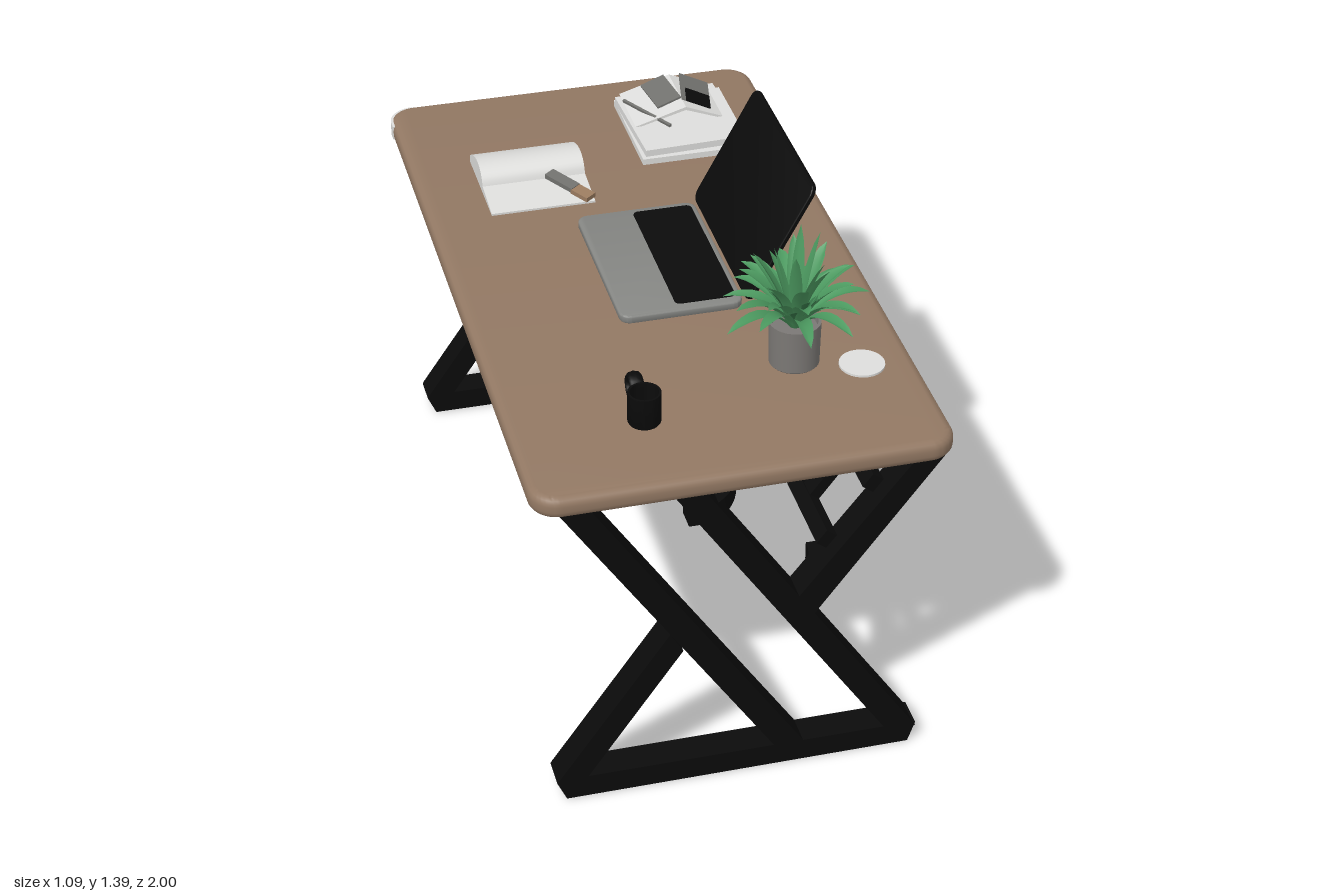
import * as THREE from 'three';
import { toCreasedNormals } from 'three/addons/utils/BufferGeometryUtils.js';

const mat = (name, color, side = THREE.FrontSide) => {
  const m = new THREE.MeshStandardMaterial({ color, side });
  m.name = name;
  return m;
};

export function createModel() {
  const wood = mat('wood', 0x927863);
  const black = mat('black', 0x0b0b0b);
  const potGrey = mat('potGrey', 0x7b7875);
  const metal = mat('laptopGrey', 0x858683);
  const paper = mat('paper', 0xdededc, THREE.DoubleSide);
  const photo = mat('photoGrey', 0x72726f);
  const tan = mat('tan', 0x9c7c60);
  const green = mat('leafGreen', 0x4c9a60, THREE.DoubleSide);
  const darkGreen = mat('darkLeafGreen', 0x38784a, THREE.DoubleSide);

  const root = new THREE.Group();
  const add = (name, geo, material, pos = [0, 0, 0], rot = [0, 0, 0], parent = root) => {
    const m = new THREE.Mesh(geo, material);
    m.name = name;
    m.position.set(...pos);
    m.rotation.set(...rot);
    parent.add(m);
    return m;
  };
  const group = (name, parent = root) => {
    const g = new THREE.Group();
    g.name = name;
    parent.add(g);
    return g;
  };
  const box = (w, h, d) => new THREE.BoxGeometry(w, h, d);

  // Horizontal slab with rounded corners and softened edges, resting on y = 0
  const slab = (w, h, d, r, b = 0) => {
    const x = w / 2 - b, y = d / 2 - b, q = r - b, s = new THREE.Shape();
    s.absarc(x - q, y - q, q, 0, Math.PI / 2);
    s.absarc(-x + q, y - q, q, Math.PI / 2, Math.PI);
    s.absarc(-x + q, -y + q, q, Math.PI, Math.PI * 1.5);
    s.absarc(x - q, -y + q, q, Math.PI * 1.5, Math.PI * 2);
    const g = new THREE.ExtrudeGeometry(s, {
      depth: h - 2 * b, bevelEnabled: b > 0, bevelSize: b, bevelThickness: b, bevelSegments: 4, curveSegments: 8,
    });
    g.translate(0, 0, b).rotateX(-Math.PI / 2);
    return toCreasedNormals(g, 0.6);
  };
  // Polygon in the front plane, given depth along z
  const plate = (pts, depth) => new THREE.ExtrudeGeometry(
    new THREE.Shape(pts.map(p => new THREE.Vector2(...p))), { depth, bevelEnabled: false }).translate(0, 0, -depth / 2);

  // Tabletop with a pale guard on one corner
  const TOP = 1.015;
  add('tabletop', slab(1.09, 0.06, 2, 0.075, 0.022), wood, [0, TOP - 0.06, 0]);
  const guard = new THREE.Shape();
  guard.moveTo(-0.547, 0.9);
  guard.lineTo(-0.547, 0.925);
  guard.absarc(-0.47, 0.925, 0.077, Math.PI, Math.PI / 2, true);
  guard.lineTo(-0.47, 0.99);
  guard.absarc(-0.47, 0.925, 0.065, Math.PI / 2, Math.PI, false);
  guard.lineTo(-0.535, 0.9);
  add('cornerGuard', new THREE.ExtrudeGeometry(guard, { depth: 0.042, bevelEnabled: false }).rotateX(-Math.PI / 2),
    paper, [0, TOP - 0.05, 0]);

  // Z-shaped leg frames with curved hooks on their inner faces
  const legBars = {
    topBar: [[-0.49, 0.957], [-0.48, 0.942], [0.53, 0.942], [0.54, 0.957]],
    frontDiagonal: [[-0.49, 0.957], [-0.41, 0.957], [0.18, 0.06], [0.1, 0.06]],
    rearDiagonal: [[-0.195, 0.957], [-0.115, 0.957], [0.49, 0.05], [0.41, 0.05]],
    foot: [[-0.49, 0.056], [-0.465, 0], [0.47, 0], [0.49, 0.06], [0.4, 0.063], [-0.485, 0.066]],
    lowerBrace: [[-0.487, 0.062], [-0.41, 0.06], [-0.153, 0.437], [-0.188, 0.497]],
    upperBrace: [[0.465, 0.957], [0.54, 0.957], [0.195, 0.49], [0.145, 0.545]],
  };
  for (const s of [1, -1]) {
    const frame = group(s > 0 ? 'frontLegFrame' : 'backLegFrame');
    frame.position.z = s * 0.905;
    for (const [name, pts] of Object.entries(legBars)) add(name, plate(pts, 0.084), black, [0, 0, 0], [0, 0, 0], frame);
    for (const [x, y] of [[0.16, 0.475], [-0.105, 0.817]]) {
      // Quarter-ring strip seen from above: leaves the leg sideways, then turns inward
      const k = new THREE.Shape();
      k.moveTo(-0.03, -0.02 * s);
      k.lineTo(0.03, -0.02 * s);
      k.quadraticCurveTo(0.14, 0.04 * s, 0.14, 0.205 * s);
      k.lineTo(0.085, 0.205 * s);
      k.quadraticCurveTo(0.08, 0.08 * s, -0.03, 0.04 * s);
      const g = new THREE.ExtrudeGeometry(k, { depth: 0.052, bevelEnabled: false, curveSegments: 10 }).rotateX(-Math.PI / 2);
      add('hook', toCreasedNormals(g, 0.6), black, [x, y, 0], [0, 0, 0], frame);
    }
  }

  // Tilted pair of rails joining the leg frames
  const rails = group('rearRails');
  rails.position.set(0.295, 0.767, 0);
  rails.rotation.z = -0.64;
  for (const y of [0.098, -0.098]) add('rail', box(0.035, 0.045, 1.8), black, [0, y, 0], [0, 0, 0], rails);
  for (const s of [1, -1]) {
    add('railClamp', box(0.05, 0.255, 0.07), black, [0, 0, s * 0.281], [0, 0, 0], rails);
    add('railSpacer', box(0.03, 0.19, 0.055), black, [0, 0, s * 0.715], [0, 0, 0], rails);
  }

  // Open laptop facing -x
  const laptop = group('laptop');
  add('laptopBase', slab(0.335, 0.024, 0.525, 0.03, 0.006), metal, [0.015, TOP, 0.03], [0, 0, 0], laptop);
  add('keyboard', slab(0.165, 0.004, 0.475, 0.015), black, [0.085, TOP + 0.023, 0.027], [0, 0, 0], laptop);
  add('laptopScreen', slab(0.37, 0.014, 0.556, 0.03, 0.004), black, [0.285, 1.2, 0.03], [0, 0, 1.077], laptop);

  // Potted plant
  const plant = group('plant');
  plant.position.set(0.24, TOP, 0.56);
  const potProfile = [[0, 0], [0.062, 0], [0.066, 0.004], [0.068, 0.126], [0.06, 0.126], [0.058, 0.108], [0, 0.108]];
  add('pot', toCreasedNormals(new THREE.LatheGeometry(potProfile.map(p => new THREE.Vector2(...p)), 32), 0.6),
    potGrey, [0, 0, 0], [0, 0, 0], plant);
  // Folded leaf swept along a curve from the pot to its tip
  const leaf = (reach, rise, bend, width) => {
    const curve = new THREE.QuadraticBezierCurve(new THREE.Vector2(0.008, 0.1),
      new THREE.Vector2(reach * 0.4, 0.1 + bend), new THREE.Vector2(reach, 0.11 + rise));
    const n = 9, pos = [], idx = [];
    for (let i = 0; i <= n; i++) {
      const t = i / n, p = curve.getPoint(t), tan2 = curve.getTangent(t);
      const w = width * (0.35 + 0.65 * Math.sin(Math.PI * Math.min(1, t * 0.85))) * Math.sqrt(Math.max(0, 1 - t ** 4));
      const lift = w * 0.45;
      for (const e of [-1, 0, 1]) {
        const l = e ? lift : 0;
        pos.push(p.x - tan2.y * l, p.y + tan2.x * l, e * w);
      }
      if (i < n) for (const c of [0, 1]) {
        const a = i * 3 + c;
        idx.push(a, a + 1, a + 4, a, a + 4, a + 3);
      }
    }
    const g = new THREE.BufferGeometry();
    g.setAttribute('position', new THREE.Float32BufferAttribute(pos, 3));
    g.setIndex(idx);
    g.computeVertexNormals();
    return g;
  };
  const rings = [
    [11, 0.2, 0.07, 0.12, 0.021, green], [10, 0.17, 0.13, 0.13, 0.022, green],
    [8, 0.125, 0.19, 0.13, 0.021, green], [6, 0.07, 0.235, 0.12, 0.018, green], [7, 0.075, 0.1, 0.07, 0.018, darkGreen],
  ];
  rings.forEach(([count, reach, rise, bend, width, m], r) => {
    for (let i = 0; i < count; i++) {
      const v = Math.sin(i * 2.4 + r * 1.7);
      add('leaf', leaf(reach * (1 + 0.12 * v), rise * (1 - 0.14 * v), bend, width), m,
        [0, 0, 0], [0, (i + r * 0.4) / count * Math.PI * 2 + 0.12 * v, 0], plant);
    }
  });

  // Coaster and mug
  add('coaster', new THREE.CylinderGeometry(0.06, 0.06, 0.006, 32), paper, [0.405, TOP + 0.003, 0.62]);
  const mugProfile = [[0, 0], [0.04, 0], [0.043, 0.005], [0.043, 0.09], [0.037, 0.09], [0.036, 0.01], [0, 0.01]];
  add('mug', toCreasedNormals(new THREE.LatheGeometry(mugProfile.map(p => new THREE.Vector2(...p)), 28), 0.6),
    black, [-0.2, TOP, 0.727]);
  const handle = add('mugHandle', new THREE.TorusGeometry(0.03, 0.01, 8, 20), black, [-0.2, TOP + 0.04, 0.628], [0, Math.PI / 2, 0]);
  handle.scale.z = 1.9;

  // Open notebook: curled pages beside a sloping one, with a pen on top
  const notebook = group('notebook');
  const pages = new THREE.Shape();
  pages.moveTo(0.33, 0);
  pages.lineTo(0.33, 0.006);
  pages.lineTo(0.455, 0.022);
  pages.bezierCurveTo(0.47, 0.085, 0.56, 0.075, 0.635, 0.022);
  pages.lineTo(0.635, 0);
  add('pages', toCreasedNormals(new THREE.ExtrudeGeometry(pages, { depth: 0.295, bevelEnabled: false, curveSegments: 14 })
    .rotateY(Math.PI / 2), 0.5), paper, [-0.37, TOP, 0]);
  root.children.at(-1).name = 'notebookPages';
  notebook.add(root.children.at(-1));
  add('penBody', box(0.035, 0.014, 0.1), photo, [-0.15, TOP + 0.032, -0.415], [0.12, 0.62, 0], notebook);
  add('penTip', box(0.036, 0.014, 0.06), tan, [-0.105, TOP + 0.022, -0.352], [0.12, 0.62, 0], notebook);

  // Stack of magazines with loose prints
  const stack = group('magazines');
  add('lowerMagazine', box(0.32, 0.018, 0.355), paper, [0.265, TOP + 0.009, -0.673], [0, 0, 0], stack);
  add('upperMagazine', box(0.3, 0.02, 0.325), paper, [0.26, TOP + 0.029, -0.675], [0, 0.04, 0], stack);
  const tent = [[0.12, 0.04], [0.27, 0.085], [0.38, 0.04], [0.37, 0.037], [0.27, 0.075], [0.13, 0.037]];
  add('foldedSheet', plate(tent, 0.2), paper, [0, TOP, -0.745], [0, 0, 0], stack);
  add('smallPrint', box(0.075, 0.006, 0.14), photo, [0.225, TOP + 0.077, -0.765], [0, 0.12, 0.29], stack);
  add('largePrint', box(0.09, 0.006, 0.15), photo, [0.325, TOP + 0.07, -0.755], [0, -0.2, -0.39], stack);
  add('darkPrint', box(0.075, 0.005, 0.07), black, [0.32, TOP + 0.077, -0.7], [0, -0.2, -0.39], stack);
  add('pencil', box(0.008, 0.008, 0.2), photo, [0.165, TOP + 0.055, -0.69], [0, 0.5, 0.2], stack);

  return root;
}
